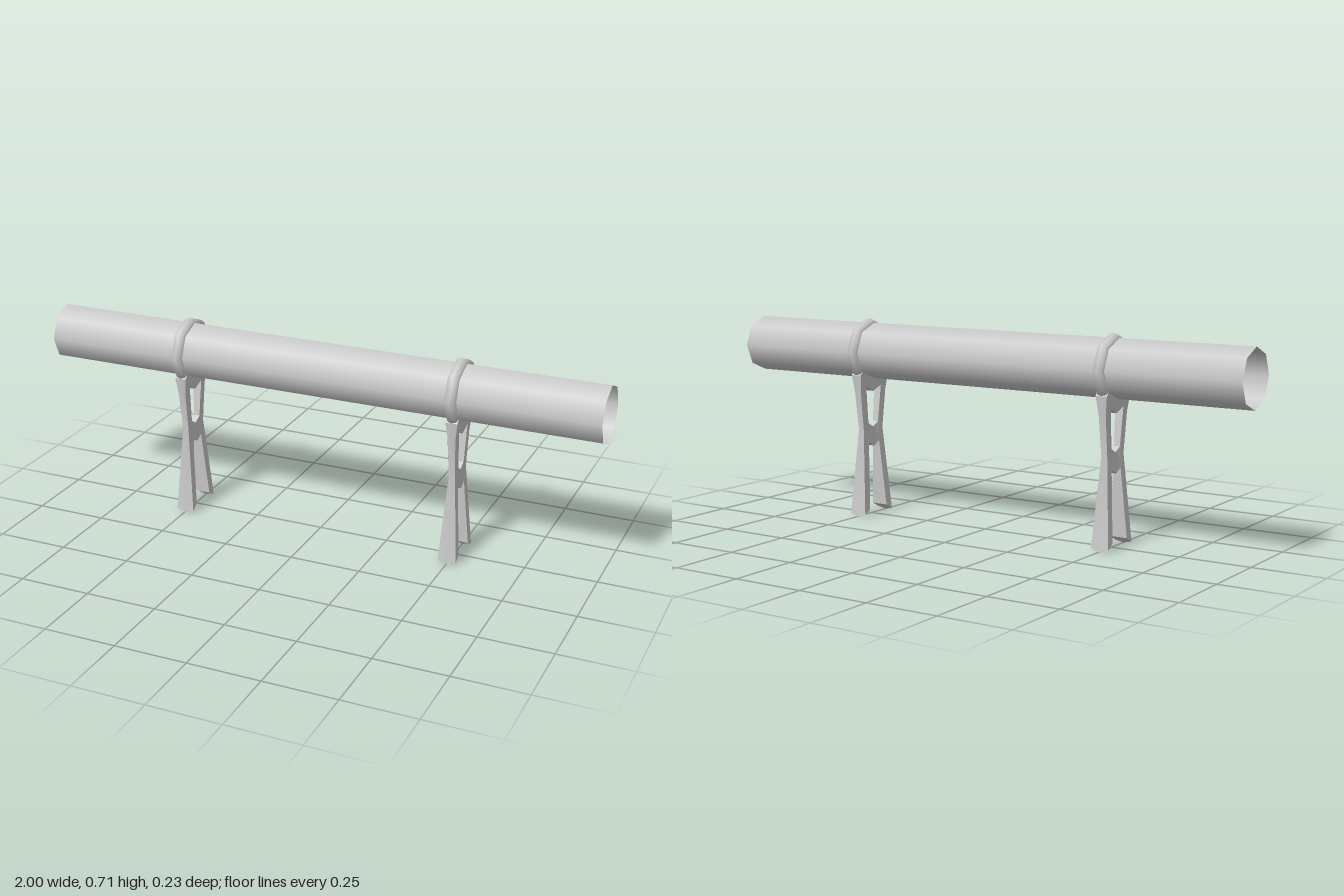
import * as THREE from 'three';
import { toCreasedNormals } from 'three/addons/utils/BufferGeometryUtils.js';

const AXIS_Y = 0.597;

// Half thickness of the stand along x at each height
const THICKNESS = [[0, 0.033], [0.312, 0.011], [0.45, 0.013], [0.515, 0.021], [0.6, 0.021]];
function halfThickness(y) {
  for (let i = 1; i < THICKNESS.length; i++) {
    const [y0, t0] = THICKNESS[i - 1], [y1, t1] = THICKNESS[i];
    if (y <= y1) return THREE.MathUtils.lerp(t0, t1, THREE.MathUtils.clamp((y - y0) / (y1 - y0), 0, 1));
  }
  return 0.021;
}

// Closed symmetric outline from the points of one half (first and last on the axis)
function mirrored(half) {
  const other = half.slice(1, -1).reverse().map(([z, y]) => [-z, y]);
  return [...half, ...other].map(([z, y]) => new THREE.Vector2(z, y));
}

// X-shaped stand: window above the waist, two splayed feet below
function standGeometry() {
  const outer = [[0.08, 0.008], [0.055, 0.312], [0.072, 0.45], [0.08, 0.514]];
  const shape = new THREE.Shape(mirrored([
    [0, 0.25], [0.03, 0.266], [0.049, 0.025], ...outer, [0.067, 0.53], [0, 0.503],
  ]));
  shape.holes.push(new THREE.Path(mirrored([[0, 0.32], [0.028, 0.336], [0.043, 0.468], [0, 0.45]])));
  const geo = new THREE.ExtrudeGeometry(shape, { depth: 2, steps: 2, bevelEnabled: false });
  geo.translate(0, 0, -1);

  // Taper the thickness and raise a soft ridge along the outer edges
  const p = geo.attributes.position;
  for (let i = 0; i < p.count; i++) {
    let z = p.getX(i), y = p.getY(i);
    const t = p.getZ(i), width = halfThickness(y);
    const onEdge = outer.some(([oz, oy]) => Math.abs(Math.abs(z) - oz) + Math.abs(y - oy) < 1e-4);
    if (onEdge && Math.abs(t) < 0.01) {
      z += Math.sign(z) * 0.0035;
      if (y < 0.02) y = 0;
    }
    p.setXYZ(i, z, y, t * width);
  }
  geo.rotateY(-Math.PI / 2);
  return toCreasedNormals(geo, 0.75);
}

export function createModel() {
  const model = new THREE.Group();
  const grey = new THREE.MeshStandardMaterial({ color: 0xcccccc });
  const thin = new THREE.MeshStandardMaterial({ color: 0xcccccc, side: THREE.DoubleSide });

  // Open eight-sided pipe
  const pipe = new THREE.Mesh(new THREE.CylinderGeometry(0.1, 0.1, 2, 8, 1, true).rotateZ(Math.PI / 2), thin);
  pipe.name = 'pipe';
  pipe.position.y = AXIS_Y;
  model.add(pipe);

  // Two supports, each a clamp ring on a stand
  const ringGeo = new THREE.TorusGeometry(0.0945, 0.0225, 8, 8).rotateY(Math.PI / 2);
  const standGeo = standGeometry();
  for (const x of [-0.5, 0.5]) {
    const support = new THREE.Group();
    support.name = x > 0 ? 'leftSupport' : 'rightSupport';
    const ring = new THREE.Mesh(ringGeo, grey);
    ring.name = 'clampRing';
    ring.position.y = AXIS_Y;
    const stand = new THREE.Mesh(standGeo, grey);
    stand.name = 'stand';
    support.add(ring, stand);
    support.position.x = x;
    model.add(support);
  }
  return model;
}
